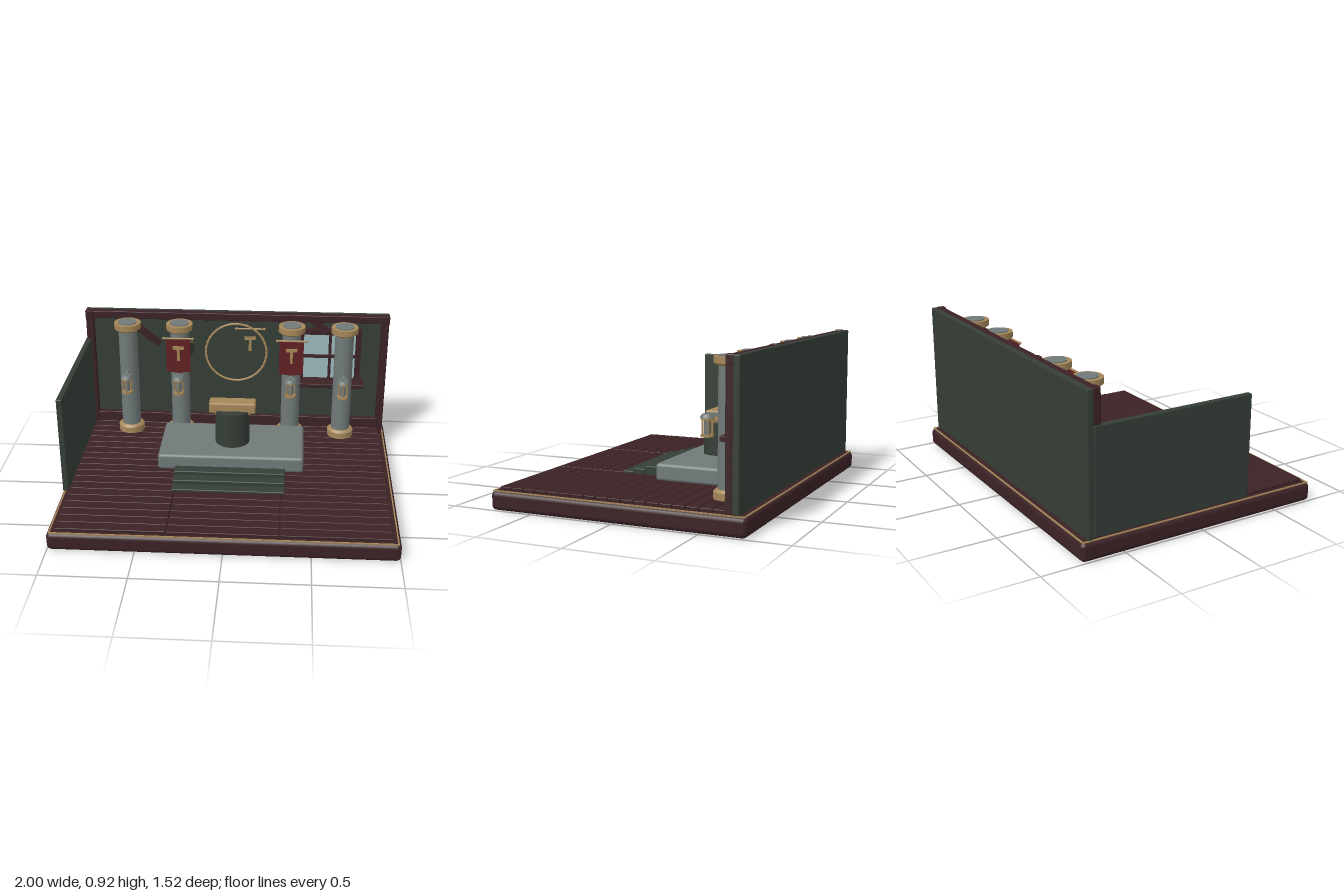
import * as THREE from 'three';
import { RoundedBoxGeometry } from 'three/addons/geometries/RoundedBoxGeometry.js';

const paint = (name, color) => {
  const m = new THREE.MeshStandardMaterial({ color });
  m.name = name;
  return m;
};

export function createModel() {
  const wood = paint('dark wood', 0x3b2225);
  const green = paint('dark green', 0x353e37);
  const stone = paint('grey stone', 0x707a78);
  const gold = paint('old gold', 0xa58759);
  const red = paint('banner red', 0x602023);
  const glass = paint('window glass', 0x9ababc);

  const model = new THREE.Group();
  const group = (name, parent = model) => {
    const g = new THREE.Group();
    g.name = name;
    parent.add(g);
    return g;
  };
  const add = (name, geo, mat, x, y, z, parent = model) => {
    const m = new THREE.Mesh(geo, mat);
    m.name = name;
    m.position.set(x, y, z);
    parent.add(m);
    return m;
  };
  // box given by its extents; r rounds the edges
  const box = (name, mat, [x0, x1], [y0, y1], [z0, z1], parent = model, r = 0) => {
    const s = [x1 - x0, y1 - y0, z1 - z0];
    const geo = r ? new RoundedBoxGeometry(...s, 3, r) : new THREE.BoxGeometry(...s);
    return add(name, geo, mat, (x0 + x1) / 2, (y0 + y1) / 2, (z0 + z1) / 2, parent);
  };
  const cyl = (name, mat, r, y0, y1, x, z, parent = model, rTop = r, n = 28) =>
    add(name, new THREE.CylinderGeometry(rTop, r, y1 - y0, n), mat, x, (y0 + y1) / 2, z, parent);

  // Plinth with a fine inlaid border
  box('plinth', wood, [-1, 1], [0, 0.11], [-0.76, 0.76], model, 0.028);
  const trim = group('plinthTrim');
  for (const s of [-1, 1]) {
    box('trimLong', gold, [-0.985, 0.985], [0.106, 0.113], [s * 0.745 - 0.004, s * 0.745 + 0.004], trim);
    box('trimShort', gold, [s * 0.982 - 0.004, s * 0.982 + 0.004], [0.106, 0.113], [-0.745, 0.745], trim);
  }

  // Floorboards, three to a row
  const floor = group('floorboards');
  for (let i = 0; i < 19; i++) {
    const z = 0.688 - i * 0.0755;
    for (const [a, b] of [[-0.955, -0.324], [-0.316, 0.316], [0.324, 0.955]])
      box('board', wood, [a, b], [0.105, 0.129], [z - 0.0355, z + 0.0355], floor, 0.004);
  }

  // Walls
  box('backWall', green, [-0.985, 0.985], [0.112, 0.92], [-0.715, -0.678], model, 0.006);
  box('sideWall', green, [-0.99, -0.955], [0.125, 0.728], [-0.68, 0.305], model, 0.006);

  // Timber frame on the back wall
  const frame = group('timberFrame');
  box('topBeam', wood, [-0.985, 0.985], [0.872, 0.92], [-0.69, -0.642], frame, 0.004);
  box('bottomRail', wood, [-0.96, 0.96], [0.12, 0.195], [-0.682, -0.645], frame, 0.004);
  for (const x of [-0.957, -0.35, 0.32, 0.957])
    box('post', wood, [x - 0.024, x + 0.024], [0.115, 0.923], [-0.682, -0.636], frame, 0.004);
  const brace = (x0, y0, x1, y1) => {
    const m = add('brace', new THREE.BoxGeometry(Math.hypot(x1 - x0, y1 - y0), 0.038, 0.034),
      wood, (x0 + x1) / 2, (y0 + y1) / 2, -0.66, frame);
    m.rotation.z = Math.atan2(y1 - y0, x1 - x0);
  };
  brace(-0.67, 0.83, -0.505, 0.695);
  brace(0.48, 0.89, 0.6, 0.8);

  // Window
  const win = group('window');
  box('pane', glass, [0.42, 0.79], [0.48, 0.81], [-0.665, -0.655], win);
  for (const x of [0.422, 0.61, 0.793]) {
    const w = x === 0.61 ? 0.009 : 0.018;
    box('upright', wood, [x - w, x + w], [0.475, 0.825], [-0.675, -0.632], win);
  }
  box('lintel', wood, [0.405, 0.81], [0.795, 0.828], [-0.675, -0.628], win);
  box('crossbar', wood, [0.42, 0.79], [0.632, 0.648], [-0.675, -0.634], win);
  box('sill', wood, [0.39, 0.835], [0.455, 0.484], [-0.675, -0.545], win, 0.004);

  // Stone dais
  box('dais', stone, [-0.452, 0.452], [0.125, 0.228], [-0.455, 0.008], model, 0.02);

  // Steps up to the dais
  const steps = group('steps');
  [0.182, 0.163, 0.143].forEach((top, i) => {
    const z = 0.053 + i * 0.076;
    box('step', green, [-0.34, 0.34], [0.125, top], [z, z + 0.072], steps, 0.006);
  });

  // Drum pedestal with a gilded block
  const altar = group('altar');
  cyl('drum', green, 0.108, 0.22, 0.452, 0, -0.218, altar, 0.108, 40);
  box('blockFoot', gold, [-0.11, 0.11], [0.424, 0.46], [-0.262, -0.178], altar, 0.006);
  box('block', gold, [-0.145, 0.145], [0.435, 0.504], [-0.268, -0.172], altar, 0.01);

  // Hanging cloth with pointed hem, rod and a mallet emblem
  const banner = (name, mat, x, z, w, top, bottom, notch) => {
    const g = group(name);
    g.position.set(x, 0, z);
    const s = new THREE.Shape();
    s.moveTo(-w, top);
    s.lineTo(-w, bottom + notch);
    if (notch > 0.02) s.lineTo(-w * 0.45, bottom + notch * 0.6);
    s.lineTo(0, bottom);
    if (notch > 0.02) s.lineTo(w * 0.45, bottom + notch * 0.6);
    s.lineTo(w, bottom + notch);
    s.lineTo(w, top);
    add('cloth', new THREE.ExtrudeGeometry(s, { depth: 0.008, bevelEnabled: false }), mat, 0, 0, -0.004, g);
    const rod = cyl('rod', gold, 0.006, 0, 2 * w + 0.03, 0, 0, g, 0.006, 10);
    rod.rotation.z = Math.PI / 2;
    rod.position.y = top + 0.004;
    for (const k of [-1, 1])
      add('finial', new THREE.SphereGeometry(0.009, 10, 8), gold, k * (w + 0.015), top + 0.004, 0, g);
    box('emblemHead', gold, [-0.036, 0.036], [top - 0.068, top - 0.046], [0.002, 0.011], g);
    box('emblemHandle', gold, [-0.009, 0.009], [top - 0.145, top - 0.06], [0.002, 0.011], g);
    return g;
  };
  banner('greenBanner', green, 0.09, -0.645, 0.076, 0.815, 0.56, 0.04);

  // Columns with lanterns
  const lantern = (x, parent) => {
    const g = group('lantern', parent);
    g.position.set(x, 0, -0.42);
    cyl('foot', gold, 0.036, 0.45, 0.462, 0, 0, g, 0.036, 16);
    cyl('core', stone, 0.017, 0.462, 0.545, 0, 0, g, 0.017, 12);
    for (let i = 0; i < 6; i++) {
      const a = (i + 0.5) * Math.PI / 3;
      cyl('bar', gold, 0.004, 0.46, 0.55, Math.cos(a) * 0.03, Math.sin(a) * 0.03, g, 0.004, 6);
    }
    cyl('collar', gold, 0.036, 0.543, 0.553, 0, 0, g, 0.036, 16);
    cyl('cap', stone, 0.04, 0.553, 0.572, 0, 0, g, 0.03, 16);
    box('bracket', stone, [-0.008, 0.008], [0.562, 0.58], [-0.07, 0.008], g);
  };
  for (const x of [-0.695, -0.36, 0.36, 0.695]) {
    const g = group('column');
    const z = -0.545;
    cyl('shaft', stone, 0.061, 0.13, 0.892, x, z, g, 0.059);
    cyl('base', gold, 0.084, 0.126, 0.168, x, z, g);
    cyl('baseStep', gold, 0.084, 0.168, 0.182, x, z, g, 0.068);
    cyl('capitalStep', gold, 0.068, 0.838, 0.85, x, z, g, 0.084);
    cyl('capital', gold, 0.085, 0.85, 0.886, x, z, g);
    lantern(x, g);
    if (Math.abs(x) < 0.5) banner('redBanner', red, x, -0.45, 0.077, 0.815, 0.583, 0.012);
  }

  // Great wall ring with studs
  const ring = group('wallRing');
  ring.position.set(0, 0.662, -0.622);
  add('hoop', new THREE.TorusGeometry(0.198, 0.007, 8, 56), gold, 0, 0, 0, ring);
  for (let i = 0; i < 36; i++) {
    const a = i * Math.PI / 18;
    add('stud', new THREE.SphereGeometry(0.009, 6, 5), gold, Math.cos(a) * 0.198, Math.sin(a) * 0.198, 0, ring);
  }

  // Small angled shield beside the inner column
  const shield = group('shield');
  shield.position.set(-0.3, 0.685, -0.605);
  shield.rotation.y = 1.05;
  const disc = cyl('shieldFace', green, 0.045, -0.006, 0.006, 0, 0, shield);
  disc.rotation.x = Math.PI / 2;
  add('shieldRim', new THREE.TorusGeometry(0.045, 0.005, 8, 28), gold, 0, 0, 0, shield);

  return model;
}
